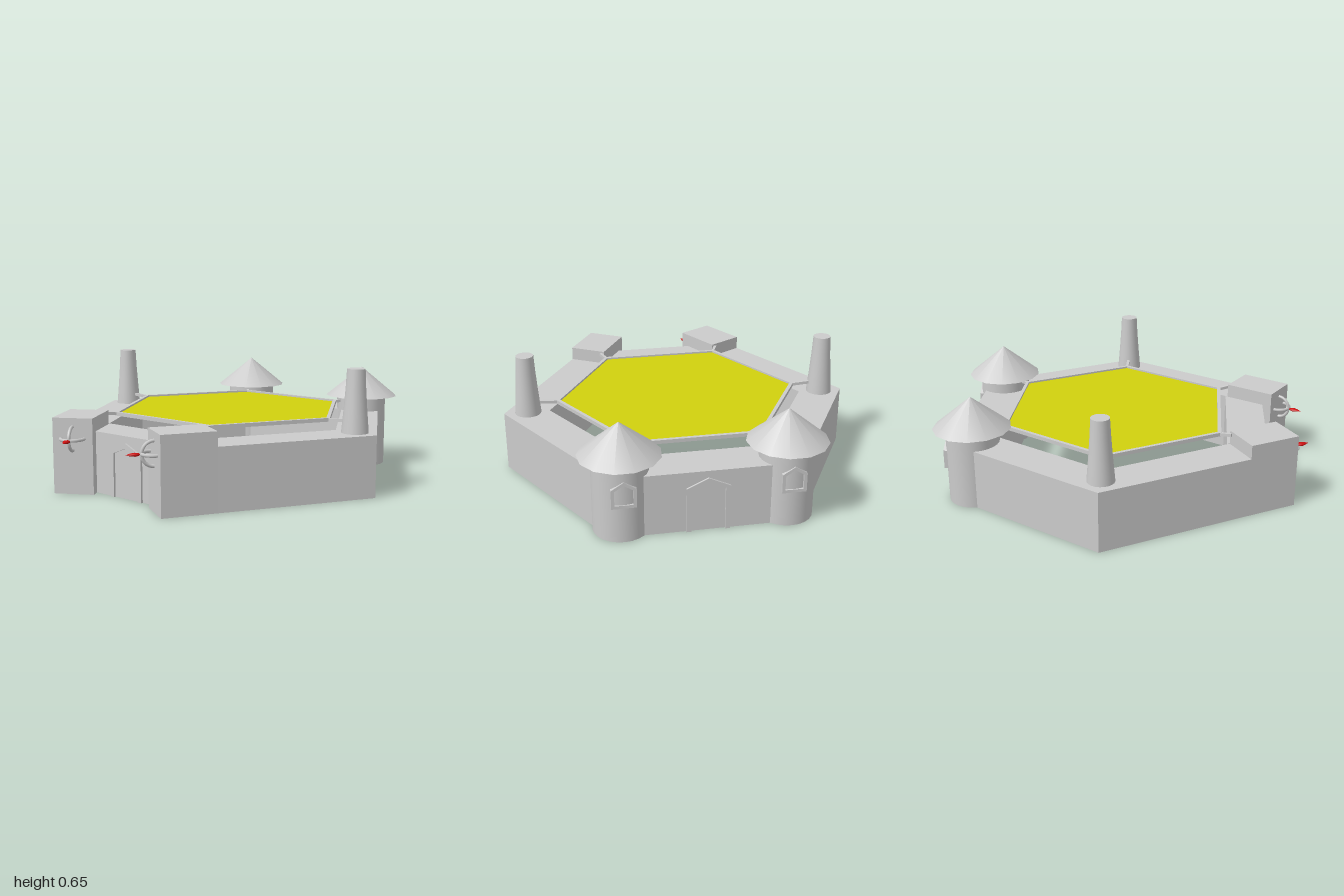
import * as THREE from 'three';

const grey = new THREE.MeshStandardMaterial({ color: 0xcccccc, side: THREE.DoubleSide });
const yellow = new THREE.MeshStandardMaterial({ color: 0xd1d10e, side: THREE.DoubleSide });
const red = new THREE.MeshStandardMaterial({ color: 0xcc1111 });

const CZ = -0.06;              // centre of the hexagon
const OUT = 0.955, INN = 0.709; // corner radii of the wall ring
const WALL = 0.325, BLOCK = 0.4, DECK = 0.375;

// Corner of a hexagon, counted in 60 degree steps from +x towards the back
function corner(r, i) {
  const a = i * Math.PI / 3;
  return [r * Math.cos(a), CZ - r * Math.sin(a)];
}

function add(parent, name, geometry, material = grey) {
  const mesh = new THREE.Mesh(geometry, material);
  mesh.name = name;
  parent.add(mesh);
  return mesh;
}

// Hollow prism over a footprint of [x, z] corners: sides and top, open below
function shell(points, height) {
  const p = points.map(([x, z]) => new THREE.Vector2(x, -z));
  if (THREE.ShapeUtils.isClockWise(p)) p.reverse();
  const pos = [];
  const put = (v, y) => pos.push(v.x, y, -v.y);
  p.forEach((a, i) => {
    const b = p[(i + 1) % p.length];
    put(a, 0); put(b, 0); put(b, height);
    put(a, 0); put(b, height); put(a, height);
  });
  for (const tri of THREE.ShapeUtils.triangulateShape(p, [])) {
    for (const k of tri) put(p[k], height);
  }
  const g = new THREE.BufferGeometry();
  g.setAttribute('position', new THREE.Float32BufferAttribute(pos, 3));
  g.computeVertexNormals();
  return g;
}

// Pointed arch frame, with or without a sill
function archFrame(w, spring, peak, t, depth, sill) {
  const outline = [[-w, 0], [w, 0], [w, spring], [0, peak], [-w, spring]];
  const v = ([x, y]) => new THREE.Vector2(x, y);
  const wi = w - t, si = spring - t * 0.4, pi = peak - t * 1.1;
  let shape;
  if (sill) {
    shape = new THREE.Shape(outline.map(v));
    shape.holes.push(new THREE.Path([[-wi, t], [-wi, si], [0, pi], [wi, si], [wi, t]].map(v)));
  } else {
    shape = new THREE.Shape([[-w, 0], [-wi, 0], [-wi, si], [0, pi], [wi, si], [wi, 0],
      [w, 0], [w, spring], [0, peak], [-w, spring]].map(v));
  }
  return new THREE.ExtrudeGeometry(shape, { depth, bevelEnabled: false });
}

// Square bar between two points
function bar(parent, name, a, b, size) {
  const mesh = add(parent, name, new THREE.BoxGeometry(size, size, a.distanceTo(b)));
  mesh.position.copy(a).add(b).multiplyScalar(0.5);
  mesh.lookAt(b);
}

function hexPath(r) {
  const pts = [];
  for (let i = 0; i < 6; i++) {
    const [x, z] = corner(r, i);
    pts.push(new THREE.Vector2(x, -z));
  }
  return pts;
}

// Crossed half hoops with a red tip, pointing along +z
function wallTorch() {
  const g = new THREE.Group();
  g.name = 'wallTorch';
  for (const turn of [0, Math.PI / 2]) {
    const hoop = add(g, 'hoop', new THREE.TorusGeometry(0.062, 0.009, 6, 16, Math.PI).rotateX(Math.PI / 2));
    hoop.rotation.z = turn;
  }
  const tip = [[0, 0], [0.012, 0.008], [0.019, 0.028], [0.012, 0.052], [0, 0.075]]
    .map(([x, y]) => new THREE.Vector2(x, y));
  const flame = add(g, 'flame', new THREE.LatheGeometry(tip, 10)
    .rotateX(Math.PI / 2).scale(1, 0.5, 1), red);
  flame.position.z = 0.067;
  return g;
}

export function createModel() {
  const model = new THREE.Group();
  model.name = 'hexagonalFort';

  // Front and back walls
  add(model, 'backWall', shell([corner(OUT, 1), corner(OUT, 2), corner(INN, 2), corner(INN, 1)], WALL));
  add(model, 'frontWall', shell([[-0.225, 0.767], [0.225, 0.767], [0.345, 0.555], [-0.345, 0.555]], WALL));

  // Gates on both of them
  const gate = archFrame(0.11, 0.24, 0.29, 0.025, 0.016, false);
  add(model, 'frontGate', gate).position.z = 0.762;
  const backGate = add(model, 'backGate', gate);
  backGate.position.z = -0.882;
  backGate.rotation.y = Math.PI;

  for (const s of [1, -1]) {
    const side = new THREE.Group();
    side.name = s > 0 ? 'leftSide' : 'rightSide';
    model.add(side);
    const m = ([x, z]) => [s * x, z];

    // Angled side wall and the raised block at its front end
    const blockOut = [0.525, 0.675], blockIn = [0.34, 0.568];
    add(side, 'sideWall', shell([corner(OUT, 1), corner(OUT, 0), blockOut, blockIn,
      corner(INN, 0), corner(INN, 1)].map(m), WALL));
    add(side, 'gateBlock', shell([blockOut, [0.383, 0.921], [0.198, 0.814], blockIn].map(m), BLOCK));

    const torch = wallTorch();
    torch.position.set(s * 0.2905, 0.293, 0.8675);
    torch.rotation.y = -s * Math.PI / 6;
    side.add(torch);

    // Flared chimney on the side corner
    const flare = [[0.1, 0], [0.083, 0.17], [0.071, 0.325], [0.06, 0.45], [0.052, 0.56], [0.047, 0.655]]
      .map(([x, y]) => new THREE.Vector2(x, y));
    add(side, 'chimney', new THREE.LatheGeometry(flare, 20)).position.set(s * 0.825, 0, CZ);
    add(side, 'chimneyCap', new THREE.CircleGeometry(0.047, 20).rotateX(-Math.PI / 2))
      .position.set(s * 0.825, 0.655, CZ);

    // Round back tower with a conical roof and a window
    const tx = s * 0.418, tz = -0.788;
    add(side, 'tower', new THREE.CylinderGeometry(0.142, 0.142, 0.41, 24, 1, true)).position.set(tx, 0.205, tz);
    add(side, 'towerRoof', new THREE.ConeGeometry(0.208, 0.17, 13)).position.set(tx, 0.491, tz);
    const win = add(side, 'towerWindow', archFrame(0.062, 0.1, 0.14, 0.016, 0.024, true));
    win.position.set(tx, 0.19, tz - 0.123);
    win.rotation.y = Math.PI;

    // Struts from the deck to chimney, tower and block
    const ends = [[[0.662, CZ], [0.79, CZ]], [corner(0.662, 1), [0.39, -0.74]],
      [corner(0.662, 5), [0.36, 0.575]]];
    for (const [a, b] of ends) {
      bar(side, 'strut', new THREE.Vector3(s * a[0], DECK, a[1]),
        new THREE.Vector3(s * b[0], DECK + 0.008, b[1]), 0.016);
    }
  }

  // Yellow deck in its frame
  const rim = new THREE.Shape(hexPath(0.672));
  rim.holes.push(new THREE.Path(hexPath(0.65)));
  add(model, 'deckFrame', new THREE.ExtrudeGeometry(rim, { depth: 0.02, bevelEnabled: false })
    .rotateX(-Math.PI / 2)).position.y = DECK - 0.01;
  add(model, 'deck', new THREE.ShapeGeometry(new THREE.Shape(hexPath(0.652))).rotateX(-Math.PI / 2), yellow)
    .position.y = DECK;

  return model;
}
